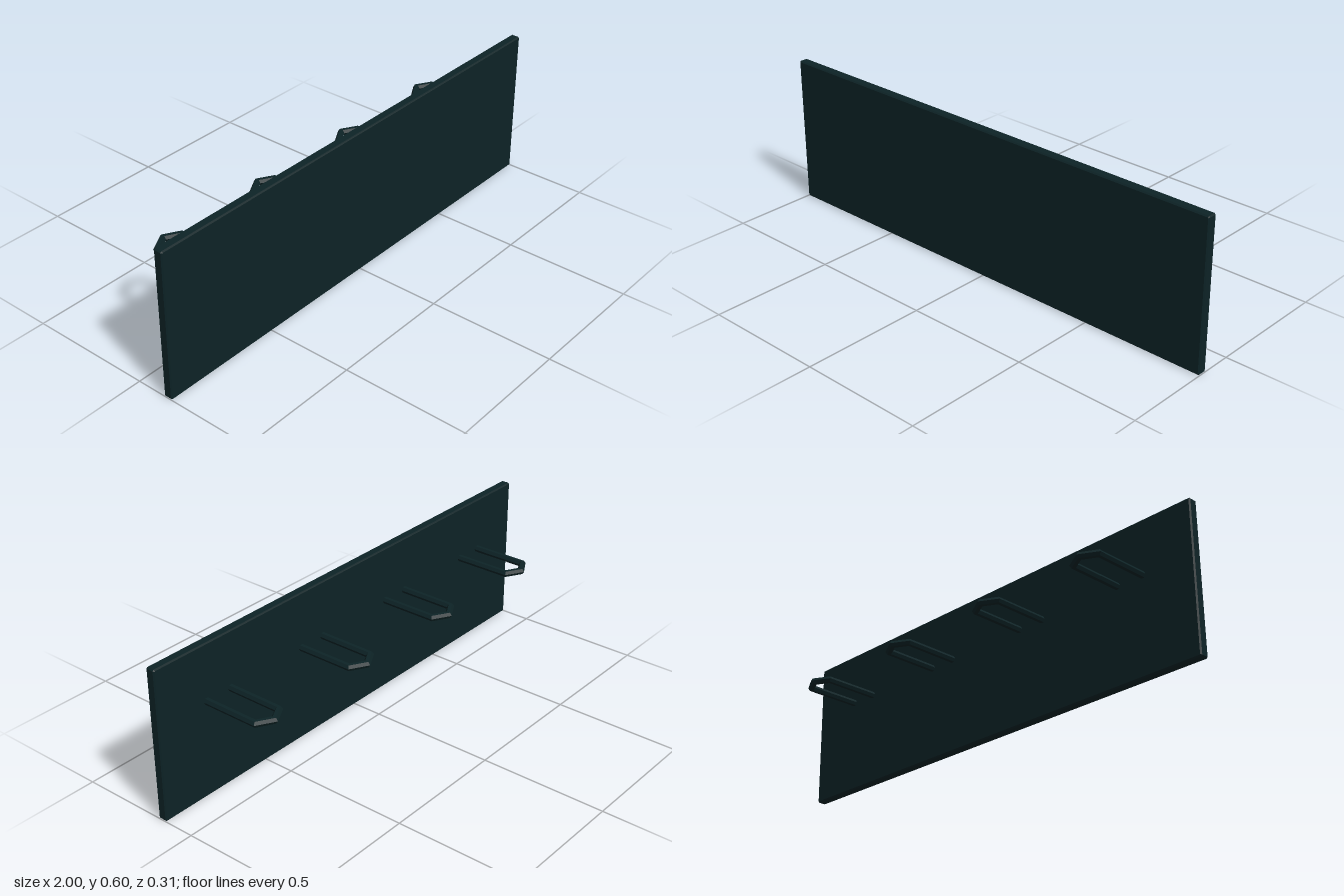
import * as THREE from 'three';

// Sweeps a hexagonal rod along a mitred path lying in the x-z plane
function hexRod(path, miters, r) {
  const pos = [], idx = [], n = 6;
  path.forEach(([x, z], i) => {
    for (let k = 0; k < n; k++) {
      const a = (k / n) * Math.PI * 2, c = r * Math.cos(a);
      pos.push(x + miters[i][0] * c, r * Math.sin(a), z + miters[i][1] * c);
    }
  });
  for (let i = 0; i < path.length - 1; i++) {
    for (let k = 0; k < n; k++) {
      const a = i * n + k, b = i * n + (k + 1) % n;
      idx.push(a, b, a + n, b, b + n, a + n);
    }
  }
  // end caps
  const e = (path.length - 1) * n;
  for (let k = 1; k < n - 1; k++) idx.push(0, k + 1, k, e, e + k, e + k + 1);
  const g = new THREE.BufferGeometry();
  g.setAttribute('position', new THREE.Float32BufferAttribute(pos, 3));
  g.setIndex(idx);
  const flat = g.toNonIndexed();
  flat.computeVertexNormals();
  return flat;
}

export function createModel() {
  const model = new THREE.Group();
  const darkTeal = new THREE.MeshStandardMaterial({ color: 0x0d2326, flatShading: true, side: THREE.DoubleSide });
  darkTeal.name = 'darkTeal';

  // Thin board with chamfered edges
  const c = 0.005, w = 1 - c, h = 0.3 - c, k = 0.002;
  const outline = new THREE.Shape([
    [-w + k, -h], [w - k, -h], [w, -h + k], [w, h - k],
    [w - k, h], [-w + k, h], [-w, h - k], [-w, -h + k],
  ].map(([x, y]) => new THREE.Vector2(x, y)));
  const boardGeo = new THREE.ExtrudeGeometry(outline, {
    depth: 0.028, bevelEnabled: true, bevelThickness: c, bevelSize: c, bevelSegments: 1,
  });
  const board = new THREE.Mesh(boardGeo, darkTeal);
  board.name = 'board';
  board.position.set(0, 0.3, 0.119 + c);
  model.add(board);

  // Pointed U-shaped loops on the back, legs sunk into the board
  const half = 0.058, t = Math.tan(Math.PI / 6), m = 1 / Math.cos(Math.PI / 6);
  const path = [[-half, 0.15], [-half, -0.108], [0, -0.1415], [half, -0.108], [half, 0.15]];
  const miters = [[-1, 0], [-1, -t], [0, -m], [1, -t], [1, 0]];
  const loopGeo = hexRod(path, miters, 0.0133);
  [-0.72, -0.24, 0.24, 0.72].forEach((x, i) => {
    const loop = new THREE.Mesh(loopGeo, darkTeal);
    loop.name = `loop${i + 1}`;
    loop.position.set(x, 0.381, 0);
    model.add(loop);
  });

  return model;
}
